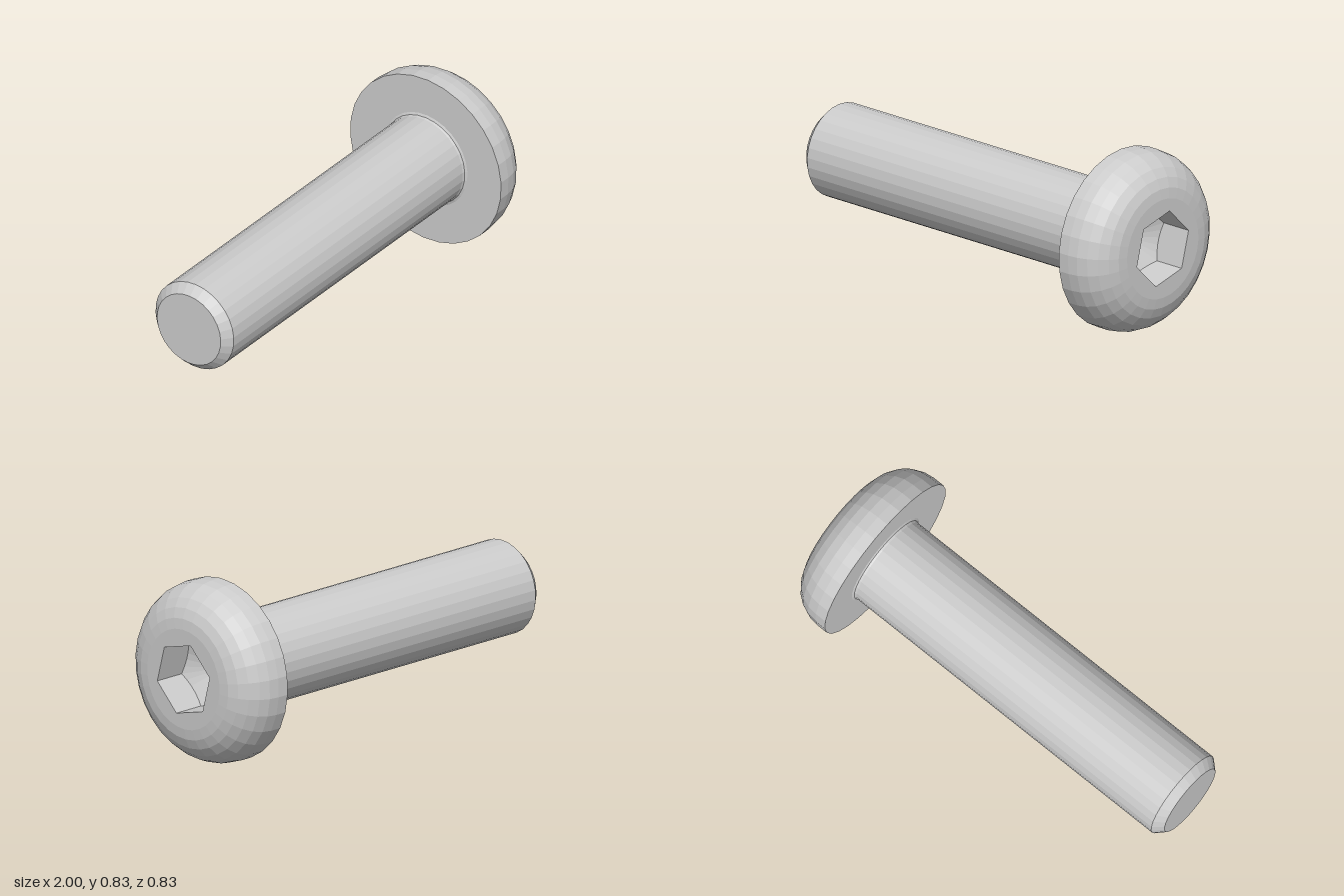
import * as THREE from 'three';

const SIDES = 30;
const PHASE = THREE.MathUtils.degToRad(8);
const HEAD_R = 0.415, FACE_R = 0.23, ROUND = HEAD_R - FACE_R;
const HEX_R = 0.172, HEX_PHASE = THREE.MathUtils.degToRad(15);

const polar = (r, a) => new THREE.Vector2(r * Math.cos(a), r * Math.sin(a));
const ring = (n, r, phase) =>
  Array.from({ length: n }, (_, i) => polar(r, phase + (i / n) * Math.PI * 2));

// Turned part: profile of [radius, position along the screw axis], laid along x
function turned(profile) {
  const points = profile.map(([r, x]) => new THREE.Vector2(r, x));
  return new THREE.LatheGeometry(points, SIDES, PHASE).rotateZ(-Math.PI / 2);
}

// Hexagonal socket walls with a shallow conical floor, opening towards +z
function socketGeometry(depth, steps) {
  const corners = ring(6, HEX_R, HEX_PHASE);
  const slope = Math.tan(Math.PI / 6);
  const apex = [0, 0, -depth - HEX_R * slope];
  const pos = [];
  for (let side = 0; side < 6; side++) {
    const a = corners[side], b = corners[(side + 1) % 6];
    for (let s = 0; s < steps; s++) {
      const p = a.clone().lerp(b, s / steps);
      const q = a.clone().lerp(b, (s + 1) / steps);
      const floor = (v) => [v.x, v.y, -depth - (HEX_R - v.length()) * slope];
      const pT = [p.x, p.y, 0], qT = [q.x, q.y, 0], pB = floor(p), qB = floor(q);
      pos.push(...pT, ...qT, ...qB, ...pT, ...qB, ...pB, ...apex, ...pB, ...qB);
    }
  }
  const geometry = new THREE.BufferGeometry();
  geometry.setAttribute('position', new THREE.Float32BufferAttribute(pos, 3));
  geometry.computeVertexNormals();
  return geometry;
}

export function createModel() {
  const screw = new THREE.Group();
  screw.name = 'buttonHeadScrew';
  const material = new THREE.MeshStandardMaterial({ color: 0xcccccc, flatShading: true });
  const add = (name, geometry) => {
    const mesh = new THREE.Mesh(geometry, material);
    mesh.name = name;
    screw.add(mesh);
    return mesh;
  };

  // Shank with chamfered tip and a small fillet under the head
  add('shank', turned([
    [0, -1], [0.175, -1], [0.215, -0.957], [0.215, 0.745],
    [0.219, 0.755], [FACE_R, 0.76],
  ]));

  // Head: flat underside, short rim, quarter-round shoulder
  const head = [[FACE_R, 0.76], [HEAD_R, 0.76]];
  for (let i = 0; i <= 6; i++) {
    const a = (i / 6) * Math.PI / 2;
    head.push([FACE_R + ROUND * Math.cos(a), 1 - ROUND + ROUND * Math.sin(a)]);
  }
  add('head', turned(head));

  // Flat end face around the socket opening
  const face = new THREE.Shape(ring(SIDES, FACE_R, PHASE));
  face.holes.push(new THREE.Path(ring(6, HEX_R, HEX_PHASE).reverse()));
  add('headFace', new THREE.ShapeGeometry(face).rotateY(Math.PI / 2)).position.x = 1;

  // Hex socket
  add('hexSocket', socketGeometry(0.15, 5).rotateY(Math.PI / 2)).position.x = 1;

  screw.position.y = HEAD_R;
  return screw;
}
